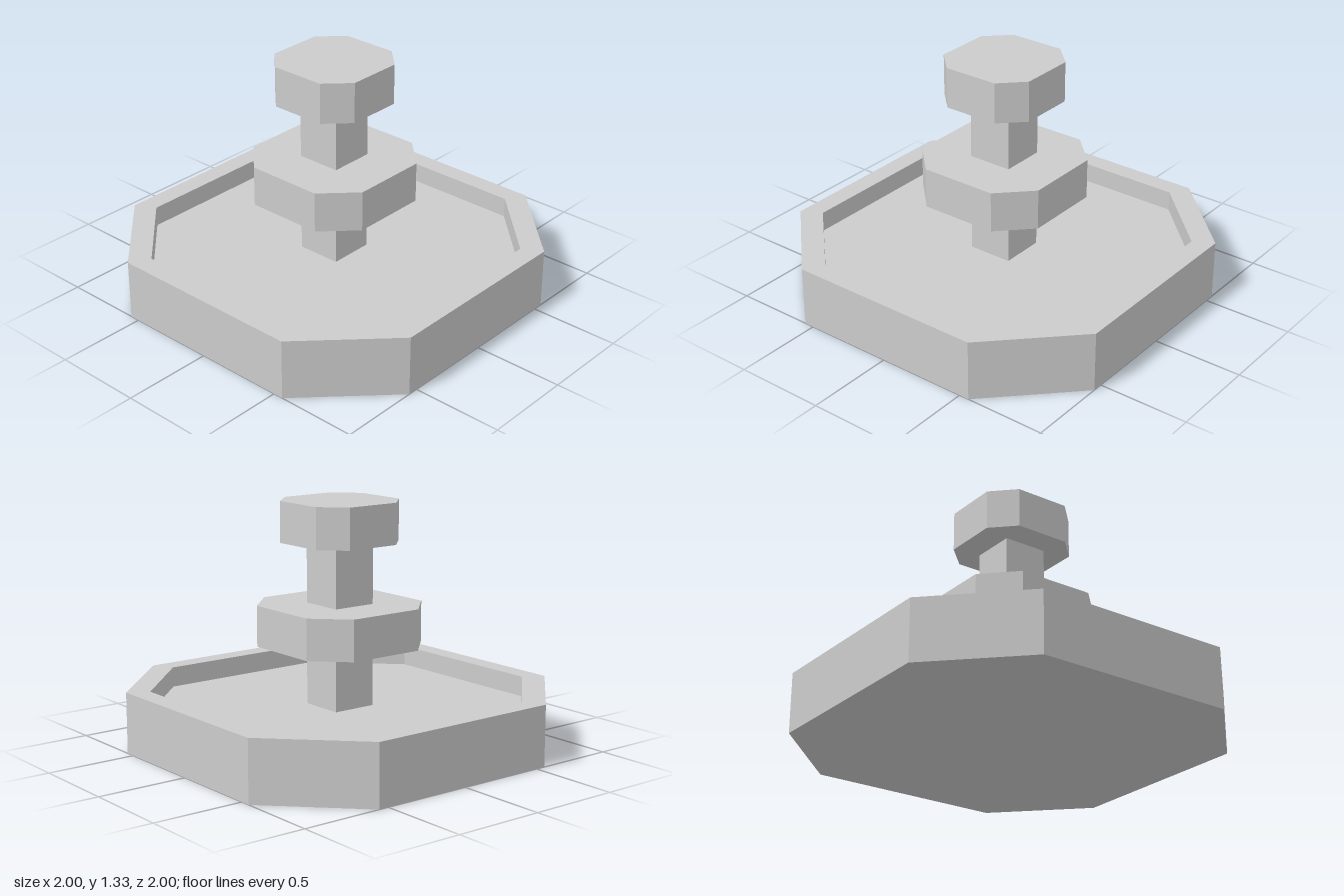
import * as THREE from 'three';

const FLAT = 5 / 9; // half length of a straight side relative to the half width

const material = new THREE.MeshStandardMaterial({ color: 0xcccccc, flatShading: true });

// Eight-sided solid shaped like a square with cut corners.
// The profile lists [half width, height] from the bottom centre to the top centre.
function octagonalSolid(name, profile) {
  const points = profile.map(([r, y]) => new THREE.Vector2(r, y));
  const lathe = new THREE.LatheGeometry(points, 8, Math.PI / 8);
  const pos = lathe.attributes.position;
  for (let i = 0; i < pos.count; i++) {
    const x = pos.getX(i), z = pos.getZ(i);
    const r = Math.hypot(x, z);
    const wide = Math.abs(x) > Math.abs(z);
    pos.setX(i, Math.sign(x) * r * (wide ? 1 : FLAT));
    pos.setZ(i, Math.sign(z) * r * (wide ? FLAT : 1));
  }
  const geometry = lathe.toNonIndexed();
  geometry.computeVertexNormals();
  const mesh = new THREE.Mesh(geometry, material);
  mesh.name = name;
  return mesh;
}

const slab = (name, r, y0, y1) =>
  octagonalSolid(name, [[0, y0], [r, y0], [r, y1], [0, y1]]);

export function createModel() {
  const group = new THREE.Group();
  group.name = 'fountain';

  // Basin with a raised rim and a sunken floor
  const floorY = 0.222, rimY = 0.333;
  group.add(octagonalSolid('basin', [
    [0, 0], [1, 0], [1, rimY], [0.889, rimY], [0.889, floorY], [0, floorY],
  ]));

  // Square column, split by the middle tier
  for (const [name, y0, y1] of [['lowerColumn', floorY, 0.556], ['upperColumn', 0.778, 1.111]]) {
    const column = new THREE.Mesh(new THREE.BoxGeometry(0.25, y1 - y0, 0.25), material);
    column.position.y = (y0 + y1) / 2;
    column.name = name;
    group.add(column);
  }

  // Tiers on the column
  group.add(slab('middleTier', 0.389, 0.556, 0.778));
  group.add(slab('topTier', 0.278, 1.111, 1.333));

  return group;
}
